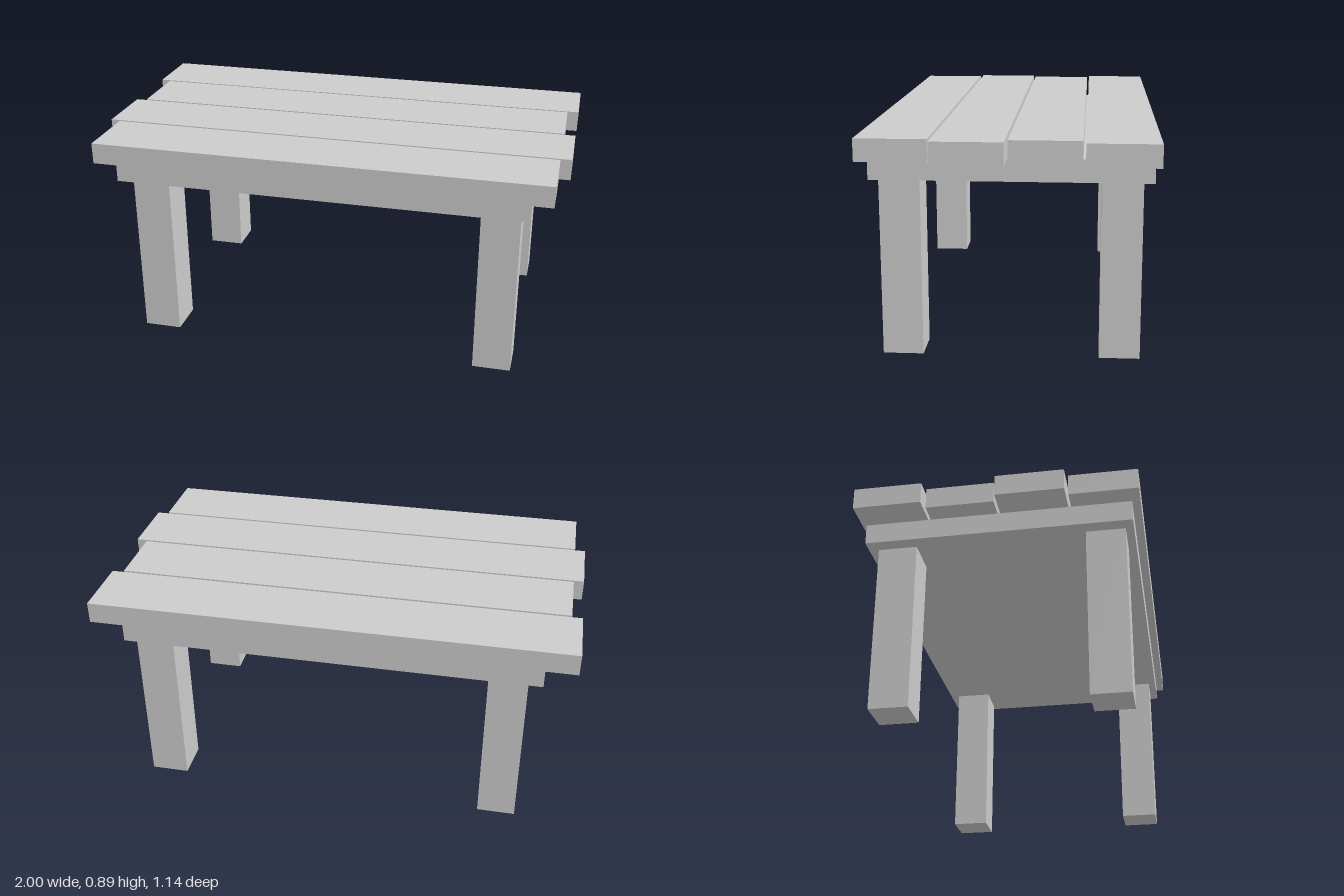
import * as THREE from 'three';

export function createModel() {
  const group = new THREE.Group();
  const material = new THREE.MeshStandardMaterial({ color: 0xcccccc, flatShading: true });

  // Box given by its minimum and maximum on each axis
  function addBox(name, [x0, x1], [y0, y1], [z0, z1]) {
    const mesh = new THREE.Mesh(new THREE.BoxGeometry(x1 - x0, y1 - y0, z1 - z0), material);
    mesh.position.set((x0 + x1) / 2, (y0 + y1) / 2, (z0 + z1) / 2);
    mesh.name = name;
    group.add(mesh);
  }

  // Top planks, alternating long and short from back to front
  const plankWidth = 0.277;
  const plankPitch = 0.2875;
  for (let i = 0; i < 4; i++) {
    const z = -0.569 + i * plankPitch;
    const span = i % 2 === 0 ? [-1, 1] : [-0.957, 0.953];
    addBox(`plank${i + 1}`, span, [0.8, 0.889], [z, z + plankWidth]);
  }

  // Solid slab under the planks
  addBox('underSlab', [-0.871, 0.867], [0.714, 0.803], [-0.552, 0.537]);

  // Four square legs, set slightly off centre
  const legSize = 0.16;
  for (const [side, x] of [['Right', -0.813], ['Left', 0.669]]) {
    for (const [end, z] of [['front', 0.344], ['back', -0.512]]) {
      addBox(`${end}${side}Leg`, [x, x + legSize], [0, 0.714], [z, z + legSize]);
    }
  }

  return group;
}
